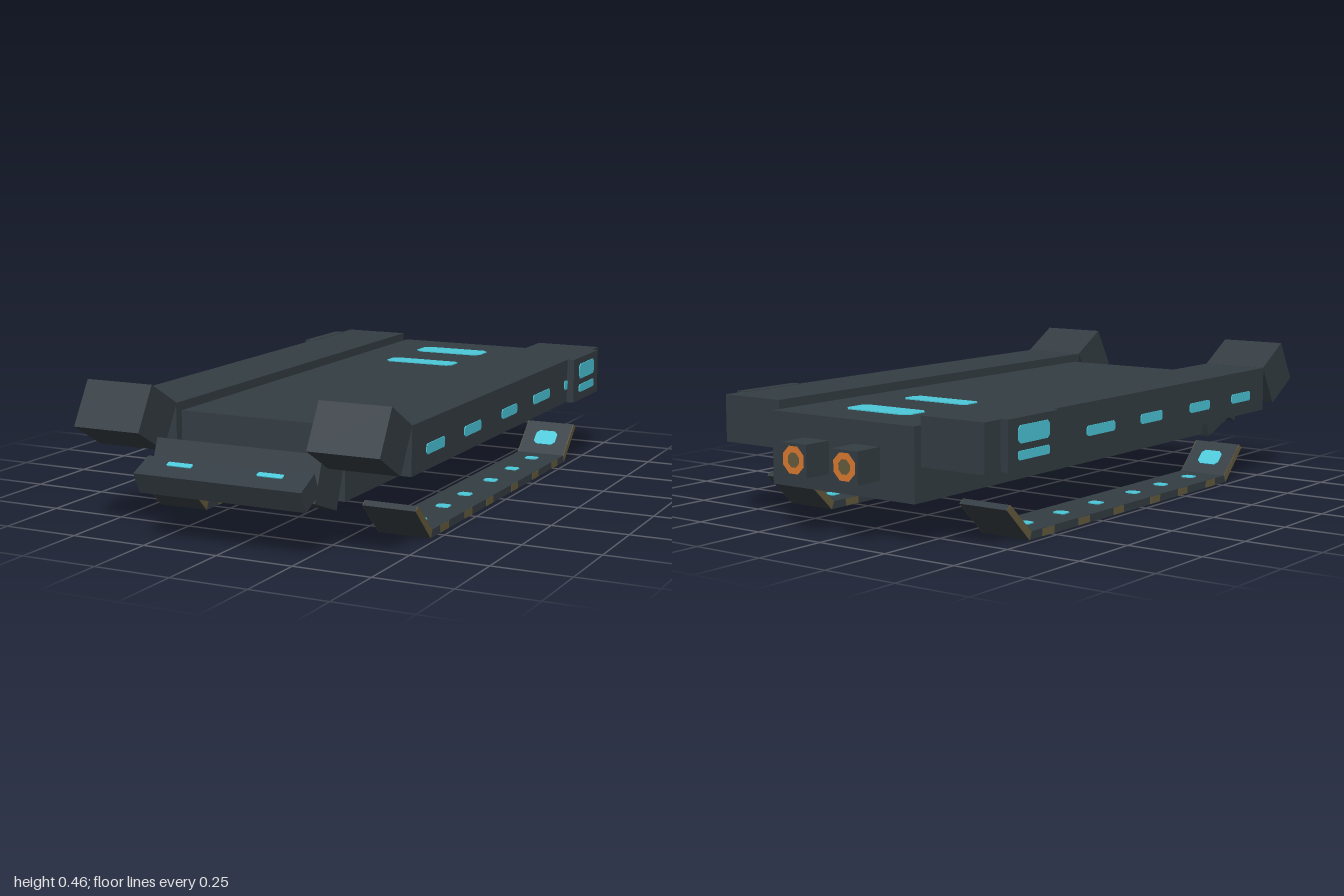
import * as THREE from 'three';

const mat = (name, color) => {
  const m = new THREE.MeshStandardMaterial({ color });
  m.name = name;
  return m;
};

export function createModel() {
  const hull = mat('hull slate', 0x343d43);
  const glow = mat('cyan light', 0x4cc8da);
  const olive = mat('olive trim', 0x645a3c);
  const orange = mat('engine orange', 0xd9782f);
  const model = new THREE.Group();

  const add = (name, geo, material, x, y, z, rx = 0, ry = 0) => {
    const m = new THREE.Mesh(geo, material);
    m.name = name;
    m.position.set(x, y, z);
    m.rotation.set(rx, ry, 0);
    model.add(m);
    return m;
  };
  // box given by its extents on each axis
  const box = (name, x0, x1, y0, y1, z0, z1, material = hull) =>
    add(name, new THREE.BoxGeometry(Math.abs(x1 - x0), y1 - y0, z1 - z0), material,
      (x0 + x1) / 2, (y0 + y1) / 2, (z0 + z1) / 2);
  // thin plate with clipped corners, facing +z
  const plate = (w, h) => {
    const a = w / 2, b = h / 2, c = Math.min(w, h) * 0.2;
    const s = new THREE.Shape([[-a + c, -b], [a - c, -b], [a, -b + c], [a, b - c],
      [a - c, b], [-a + c, b], [-a, b - c], [-a, -b + c]].map(p => new THREE.Vector2(...p)));
    return new THREE.ExtrudeGeometry(s, { depth: 0.003, bevelEnabled: false });
  };
  const UP = -Math.PI / 2;
  const deg = THREE.MathUtils.degToRad;

  // central hull and its roof lights
  box('centralHull', -0.28, 0.28, 0.13, 0.357, -0.9, 0.73);
  add('roofLightRear', plate(0.255, 0.105), glow, 0, 0.357, -0.697, UP);
  add('roofLightFront', plate(0.255, 0.08), glow, 0, 0.357, -0.43, UP);

  // tilted nose with a forward ledge
  add('noseBlock', new THREE.BoxGeometry(0.56, 0.143, 0.143), hull, 0, 0.2075, 0.825, deg(-20));
  add('noseLedge', new THREE.BoxGeometry(0.56, 0.071, 0.09), hull, 0, 0.202, 0.944, deg(25));

  // runner outline as (z, y), extruded across its width
  const runnerShape = new THREE.Shape([[0.555, 0], [0.665, 0.108], [0.648, 0.121], [0.545, 0.025],
    [-0.603, 0.025], [-0.708, 0.121], [-0.726, 0.108], [-0.613, 0]].map(p => new THREE.Vector2(...p)));
  const rampShapes = [
    [[0.555, 0], [0.665, 0.108], [0.648, 0.121], [0.545, 0.025]],
    [[-0.613, 0], [-0.726, 0.108], [-0.708, 0.121], [-0.603, 0.025]],
  ].map(pts => new THREE.Shape(pts.map(p => new THREE.Vector2(...p))));
  const across = (shape, width) =>
    new THREE.ExtrudeGeometry(shape, { depth: width, bevelEnabled: false })
      .translate(0, 0, -width / 2).rotateY(-Math.PI / 2);

  for (const s of [1, -1]) {
    const side = s > 0 ? 'left' : 'right';
    const out = s * Math.PI / 2;

    // side pod, tilted front block and rear housing
    box(side + 'Pod', s * 0.28, s * 0.51, 0.235, 0.385, -0.87, 0.76);
    add(side + 'PodNose', new THREE.BoxGeometry(0.23, 0.154, 0.154), hull,
      s * 0.395, 0.357, 0.8625, deg(-30));
    box(side + 'RearHousing', s * 0.5, s * 0.535, 0.234, 0.386, -0.795, -0.54);

    // side lights
    for (const [z, w] of [[0.595, 0.13], [0.315, 0.13], [0.01, 0.13], [-0.283, 0.155], [-0.525, 0.03]])
      add(side + 'PodLight', plate(w, 0.032), glow, s * 0.51, 0.297, z, 0, out);
    add(side + 'HousingLightUpper', plate(0.155, 0.053), glow, s * 0.535, 0.337, -0.67, 0, out);
    add(side + 'HousingLightLower', plate(0.155, 0.027), glow, s * 0.535, 0.276, -0.67, 0, out);

    // headlight on the nose ledge
    add(side + 'Headlight', plate(0.085, 0.018), glow, s * 0.152, 0.2405, 0.946, UP + deg(25));

    // runner with bent-up ends
    const rx = s * 0.3925;
    add(side + 'Runner', across(runnerShape, 0.172), hull, rx, 0, 0);
    for (const ramp of rampShapes)
      for (const e of [1, -1])
        add(side + 'RampEdge', across(ramp, 0.002), olive, rx + e * 0.0865, 0, 0);
    for (const z of [0.45, 0.265, 0.09, -0.13, -0.325, -0.515]) {
      for (const e of [1, -1])
        box(side + 'RunnerMark', rx + e * 0.085, rx + e * 0.0875, 0.001, 0.024, z - 0.03, z + 0.03, olive);
      add(side + 'RunnerLight', plate(0.045, 0.04), glow, rx, 0.025, z, UP);
    }
    add(side + 'FrontRampLight', plate(0.08, 0.06), glow, rx, 0.073, 0.5965, UP - deg(43));
    add(side + 'RearRampLight', plate(0.08, 0.06), glow, rx, 0.073, -0.6555, UP + deg(42.5));

    // rear thruster with glowing ring
    box(side + 'Thruster', s * 0.05, s * 0.15, 0.185, 0.285, -0.998, -0.89);
    add(side + 'ThrusterRing', new THREE.RingGeometry(0.024, 0.045, 8, 1, Math.PI / 8), orange,
      s * 0.1, 0.235, -1, 0, Math.PI);
    add(side + 'ThrusterCore', new THREE.CircleGeometry(0.024, 8, Math.PI / 8), olive,
      s * 0.1, 0.235, -1, 0, Math.PI);
  }
  return model;
}
